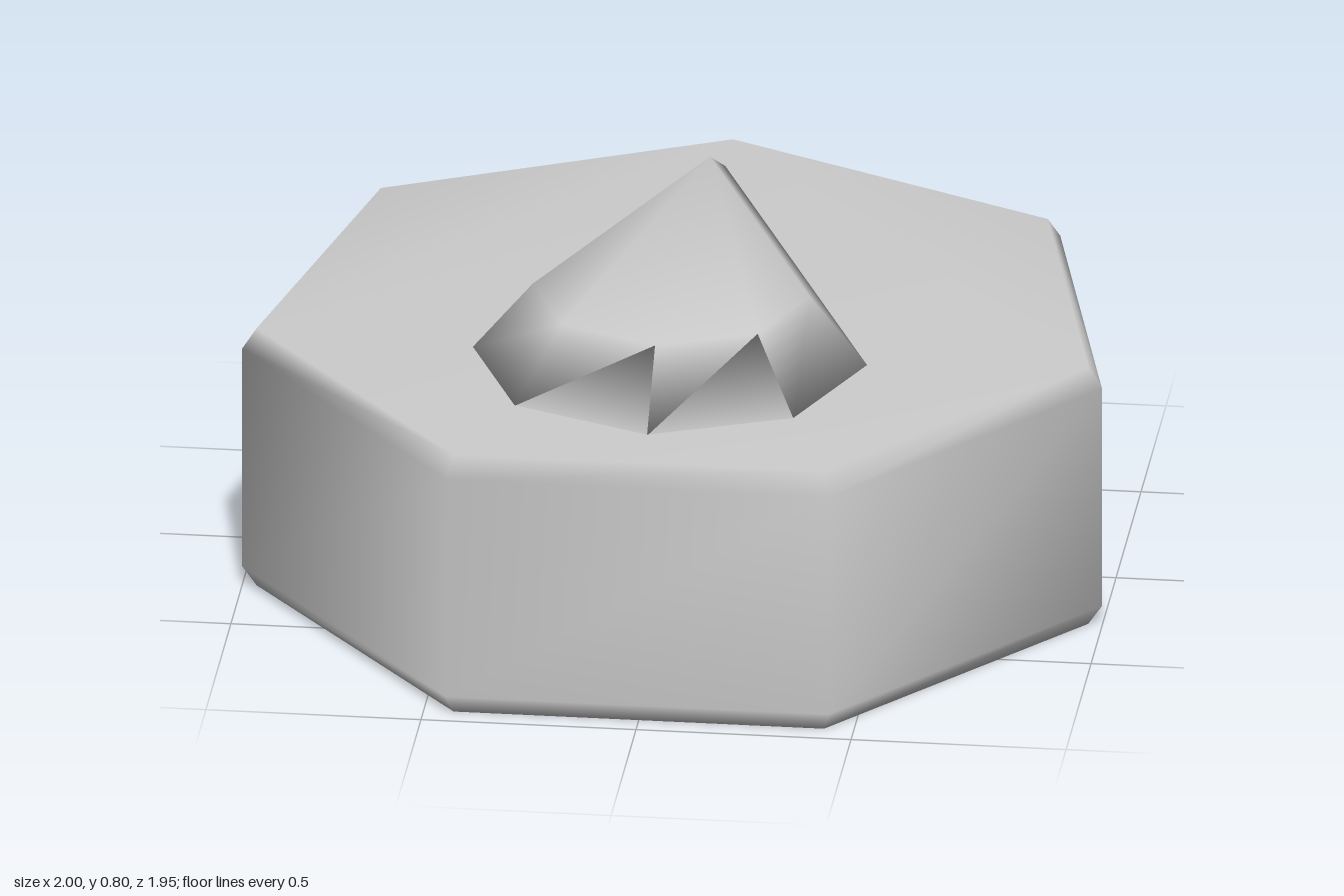
import * as THREE from 'three';

// Closed smooth solid through stacked rings of [x, y, z], each clockwise seen from above
function stackRings(rings) {
  const n = rings[0].length;
  const index = [];
  for (let r = 0; r < rings.length - 1; r++) {
    for (let i = 0; i < n; i++) {
      const a = r * n + i;
      const b = r * n + (i + 1) % n;
      index.push(b, a, a + n, b, a + n, b + n);
    }
  }
  const top = (rings.length - 1) * n;
  for (let i = 1; i < n - 1; i++) {
    index.push(0, i, i + 1, top, top + i + 1, top + i); // bottom and top caps
  }
  const geometry = new THREE.BufferGeometry();
  geometry.setAttribute('position', new THREE.Float32BufferAttribute(rings.flat(2), 3));
  geometry.setIndex(index);
  geometry.computeVertexNormals();
  return geometry;
}

// Outline of [x, z] points scaled, shifted in z and placed at height y
const ring = (outline, y, scale, shiftZ) =>
  outline.map(([x, z]) => [x * scale, y, z * scale + shiftZ]);

export function createModel() {
  const model = new THREE.Group();
  model.name = 'knob';
  const grey = new THREE.MeshStandardMaterial({ color: 0xcccccc });
  grey.name = 'light grey';

  const add = (name, geometry) => {
    const mesh = new THREE.Mesh(geometry, grey);
    mesh.name = name;
    model.add(mesh);
  };

  // Seven-sided body with small bevels, one corner pointing back
  const heptagon = Array.from({ length: 7 }, (_, i) => {
    const a = (i / 7) * Math.PI * 2;
    return [1.0257 * Math.sin(a), -1.0257 * Math.cos(a)];
  });
  const profile = [[0, 0.967], [0.05, 1], [0.597, 1], [0.647, 0.967]];
  add('body', stackRings(profile.map(([y, s]) => ring(heptagon, y, s, 0.051))));

  // Teardrop pointer with sloped sides, its tip pointing back
  const teardrop = [[0, -0.79]];
  for (let i = 0; i <= 4; i++) {
    const a = (i / 4) * Math.PI;
    teardrop.push([0.46 * Math.cos(a), 0.32 + 0.46 * Math.sin(a)]);
  }
  add('pointer', stackRings([ring(teardrop, 0.645, 1, 0), ring(teardrop, 0.803, 0.7, 0.073)]));

  return model;
}
